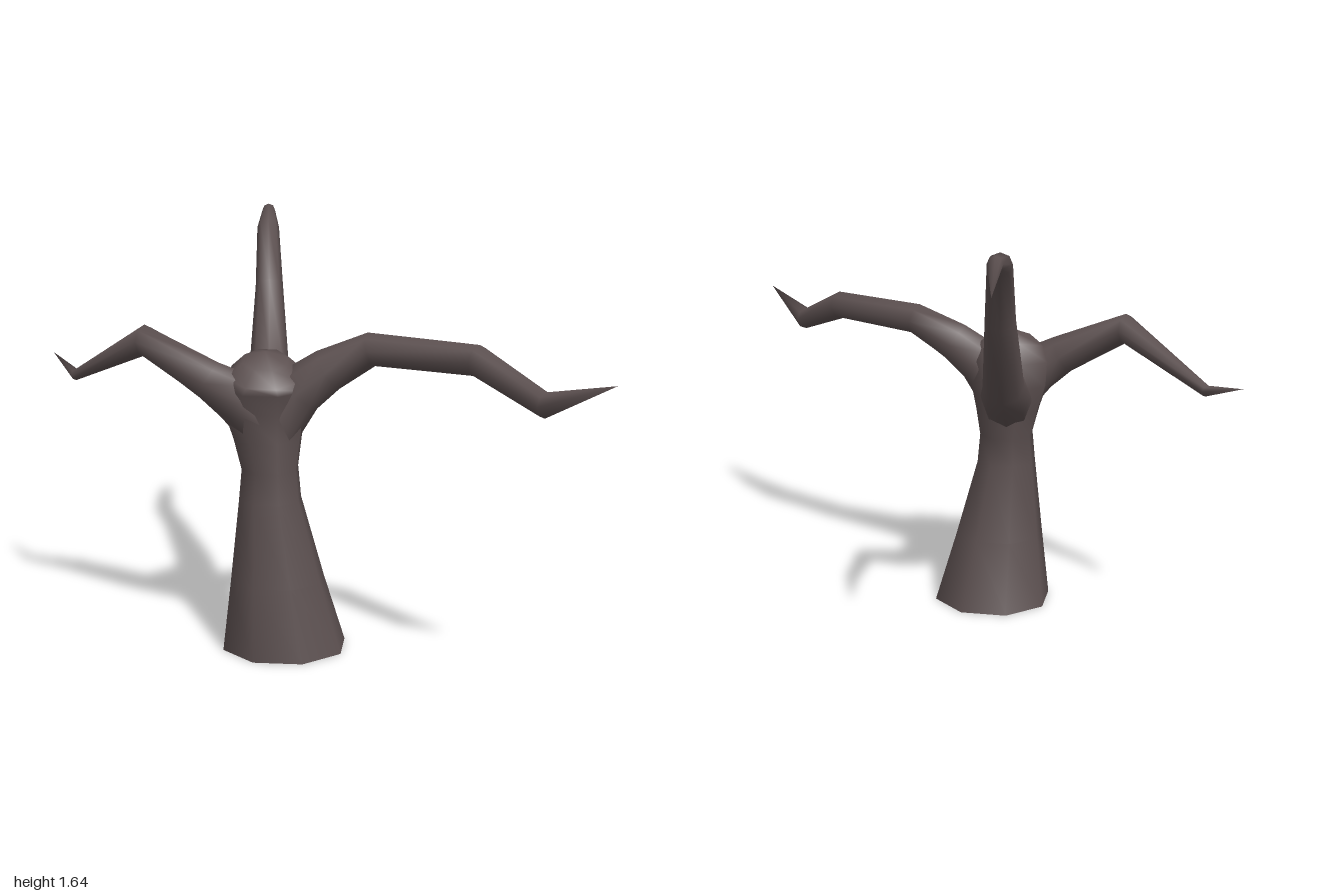
import * as THREE from 'three';

const SIDES = 8;

// Skin a list of rings (arrays of Vector3, counter-clockwise about the growth direction)
function skin(rings, endPoint) {
  const pos = [], index = [];
  rings.forEach(r => r.forEach(p => pos.push(p.x, p.y, p.z)));
  for (let i = 0; i < rings.length - 1; i++) {
    for (let j = 0; j < SIDES; j++) {
      const a = i * SIDES + j, b = i * SIDES + (j + 1) % SIDES;
      index.push(a, b, a + SIDES, b, b + SIDES, a + SIDES);
    }
  }
  // close the end to a point
  const last = (rings.length - 1) * SIDES, tip = rings.length * SIDES;
  pos.push(endPoint.x, endPoint.y, endPoint.z);
  for (let j = 0; j < SIDES; j++) index.push(last + j, last + (j + 1) % SIDES, tip);
  const geo = new THREE.BufferGeometry();
  geo.setAttribute('position', new THREE.Float32BufferAttribute(pos, 3));
  geo.setIndex(index);
  geo.computeVertexNormals();
  return geo;
}

// Horizontal trunk ring; tilt lowers its front edge
function trunkRing([cx, y, cz, rx, rz, tilt = 0]) {
  return Array.from({ length: SIDES }, (_, j) => {
    const a = (j + 0.35) / SIDES * Math.PI * 2;
    const s = Math.sin(a);
    return new THREE.Vector3(cx + rx * 1.04 * Math.cos(a), y + tilt * s, cz - rz * 1.04 * s);
  });
}

// Tapering, kinked branch from [x, y, z, radius] joints; the last joint is the tip
function branchGeometry(joints) {
  const pts = joints.map(j => new THREE.Vector3(j[0], j[1], j[2]));
  const up = new THREE.Vector3(0, 1, 0);
  const rings = [];
  for (let i = 0; i < pts.length - 1; i++) {
    const next = pts[i + 1].clone().sub(pts[i]).normalize();
    const prev = i ? pts[i].clone().sub(pts[i - 1]).normalize() : next;
    const t = next.clone().add(prev).normalize();
    const side = t.clone().cross(up).normalize();
    const rise = t.clone().cross(side);
    rings.push(Array.from({ length: SIDES }, (_, j) => {
      const a = j / SIDES * Math.PI * 2;
      return pts[i].clone()
        .addScaledVector(side, joints[i][3] * Math.cos(a))
        .addScaledVector(rise, joints[i][3] * Math.sin(a));
    }));
  }
  return skin(rings, pts[pts.length - 1]);
}

export function createModel() {
  const tree = new THREE.Group();
  tree.name = 'bareTree';
  const bark = new THREE.MeshStandardMaterial({ color: 0x5c5050 });
  bark.name = 'darkBark';
  const add = (name, geo) => {
    const mesh = new THREE.Mesh(geo, bark);
    mesh.name = name;
    tree.add(mesh);
  };

  // Trunk: wide foot, narrow waist, rounded crown
  const rings = [
    [-0.062, 0, 0.222, 0.236, 0.205],
    [-0.088, 0.28, 0.25, 0.178, 0.142],
    [-0.115, 0.6, 0.255, 0.117, 0.113],
    [-0.115, 0.72, 0.25, 0.106, 0.115],
    [-0.122, 0.83, 0.235, 0.127, 0.127],
    [-0.13, 0.94, 0.23, 0.155, 0.128],
    [-0.13, 1.03, 0.245, 0.165, 0.14, 0.015],
    [-0.13, 1.08, 0.265, 0.14, 0.122, 0.04],
    [-0.13, 1.13, 0.255, 0.085, 0.075, 0.03],
  ].map(trunkRing);
  add('trunk', skin(rings, new THREE.Vector3(-0.13, 1.16, 0.245)));

  // Flat underside of the trunk
  const foot = new THREE.ShapeGeometry(
    new THREE.Shape(rings[0].map(p => new THREE.Vector2(p.x, p.z))));
  foot.rotateX(Math.PI / 2);
  add('trunkBase', foot);

  add('leftBranch', branchGeometry([
    [-0.12, 0.84, 0.25, 0.1],
    [-0.01, 1.015, 0.26, 0.098],
    [0.1, 1.095, 0.275, 0.082],
    [0.258, 1.178, 0.31, 0.063],
    [0.61, 1.178, 0.55, 0.057],
    [0.81, 1.065, 0.775, 0.045],
    [1, 1.17, 0.975],
  ]));

  add('rightBranch', branchGeometry([
    [-0.12, 0.86, 0.25, 0.1],
    [-0.23, 0.99, 0.26, 0.1],
    [-0.34, 1.055, 0.255, 0.077],
    [-0.585, 1.188, 0.15, 0.059],
    [-0.885, 1.01, -0.1, 0.022],
    [-1, 1.07, -0.28],
  ]));

  add('backBranch', branchGeometry([
    [-0.12, 0.83, 0.24, 0.1],
    [-0.12, 0.925, 0.07, 0.1],
    [-0.12, 1.015, -0.11, 0.08],
    [-0.12, 1.33, -0.36, 0.056],
    [-0.125, 1.557, -0.505, 0.045],
    [-0.125, 1.61, -0.785, 0.027],
    [-0.125, 1.54, -0.98],
  ]));

  return tree;
}
